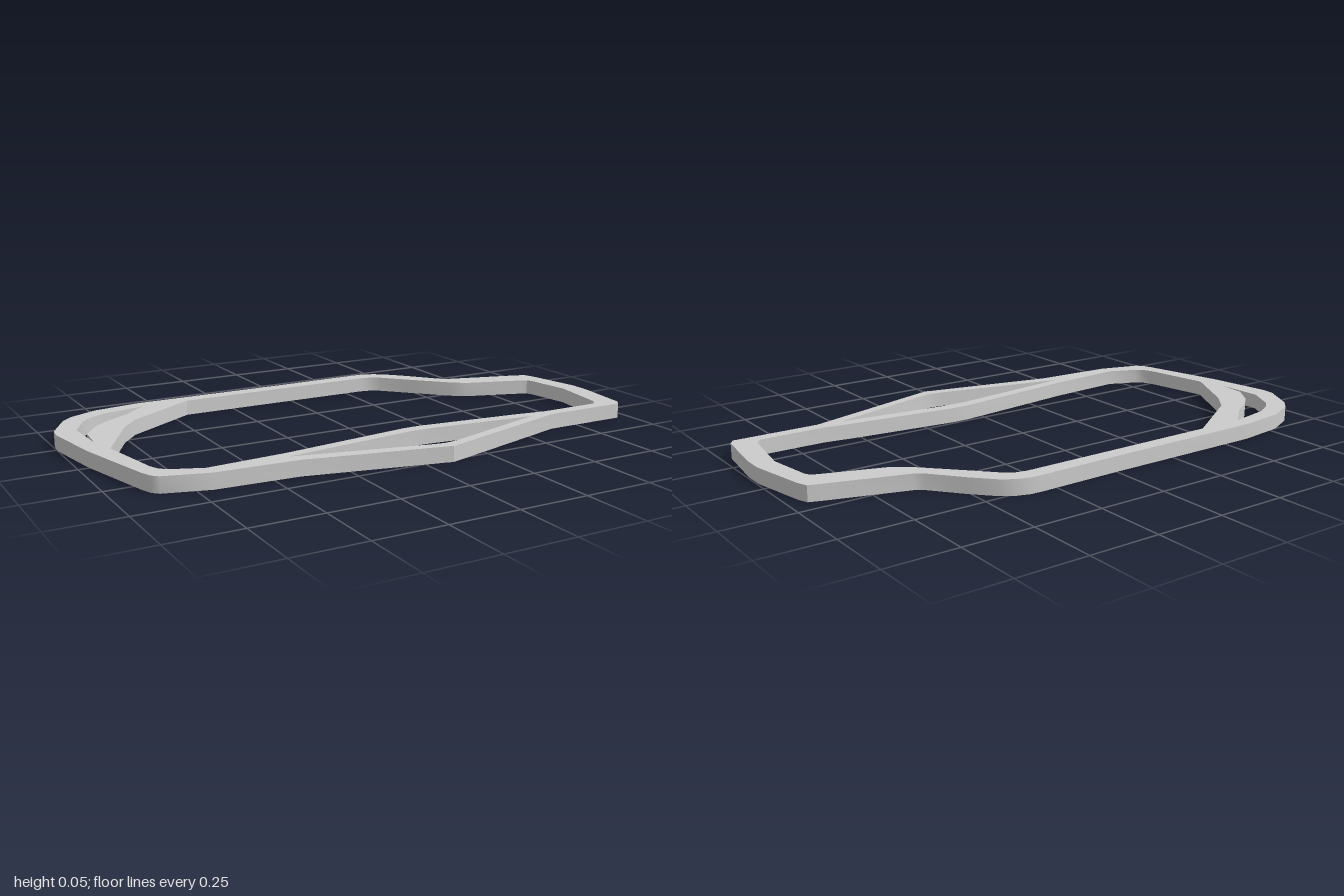
import * as THREE from 'three';
import { toCreasedNormals } from 'three/addons/utils/BufferGeometryUtils.js';

const HEIGHT = 0.055;

// Plan outlines as [x, z] corners
const outer = [
  [-0.61, -0.525], [0, -0.525], [0.31, -0.53], [0.35, -0.528], [0.4, -0.512], [0.44, -0.485],
  [0.51, -0.41], [0.6, -0.3], [0.625, -0.285], [0.89, -0.205], [0.94, -0.188], [0.955, -0.15],
  [0.995, 0.055], [0.995, 0.13], [0.968, 0.34], [0.95, 0.365], [0.635, 0.365],
  [0.12, 0.518], [0.095, 0.525], [0.07, 0.518], [-0.41, 0.415], [-0.7, 0.4],
  [-0.855, 0.355], [-0.875, 0.335], [-0.89, 0.295], [-0.965, -0.01], [-1, -0.24], [-0.995, -0.29],
  [-0.93, -0.41], [-0.89, -0.45], [-0.785, -0.5],
];
const mainOpening = [
  [-0.44, -0.47], [0.32, -0.47], [0.36, -0.462], [0.395, -0.44], [0.47, -0.36], [0.6, -0.225],
  [0.65, -0.188], [0.87, -0.115], [0.89, -0.105], [0.9, -0.085], [0.925, 0.08], [0.892, 0.295],
  [0.87, 0.32], [0.635, 0.32], [0.515, 0.302], [0.13, 0.261], [0.07, 0.261], [-0.42, 0.325],
  [-0.7, 0.345], [-0.805, 0.302], [-0.83, 0.28], [-0.845, 0.245], [-0.89, 0], [-0.77, -0.22],
  [-0.705, -0.3],
];
const cornerOpening = [
  [-0.915, -0.095], [-0.922, -0.27], [-0.87, -0.37], [-0.835, -0.405], [-0.77, -0.44],
  [-0.615, -0.47], [-0.705, -0.39], [-0.8, -0.33], [-0.85, -0.285], [-0.905, -0.205],
];
const frontOpening = [
  [-0.43, 0.365], [0.06, 0.306], [0.14, 0.306], [0.55, 0.35], [0.14, 0.475], [0.095, 0.481],
  [0.05, 0.475],
];

const toPoints = (list) => list.map(([x, z]) => new THREE.Vector2(x, z));

export function createModel() {
  const group = new THREE.Group();
  group.name = 'outlineFrame';

  // Flat frame with three openings, laid down on the ground
  const shape = new THREE.Shape(toPoints(outer));
  for (const opening of [mainOpening, cornerOpening, frontOpening]) {
    shape.holes.push(new THREE.Path(toPoints(opening)));
  }
  const geometry = new THREE.ExtrudeGeometry(shape, { depth: HEIGHT, bevelEnabled: false });
  geometry.rotateX(Math.PI / 2).translate(0, HEIGHT, 0);

  const frame = new THREE.Mesh(
    toCreasedNormals(geometry, Math.PI / 6),
    new THREE.MeshStandardMaterial({ color: 0xcccccc }),
  );
  frame.name = 'frame';
  group.add(frame);
  return group;
}
